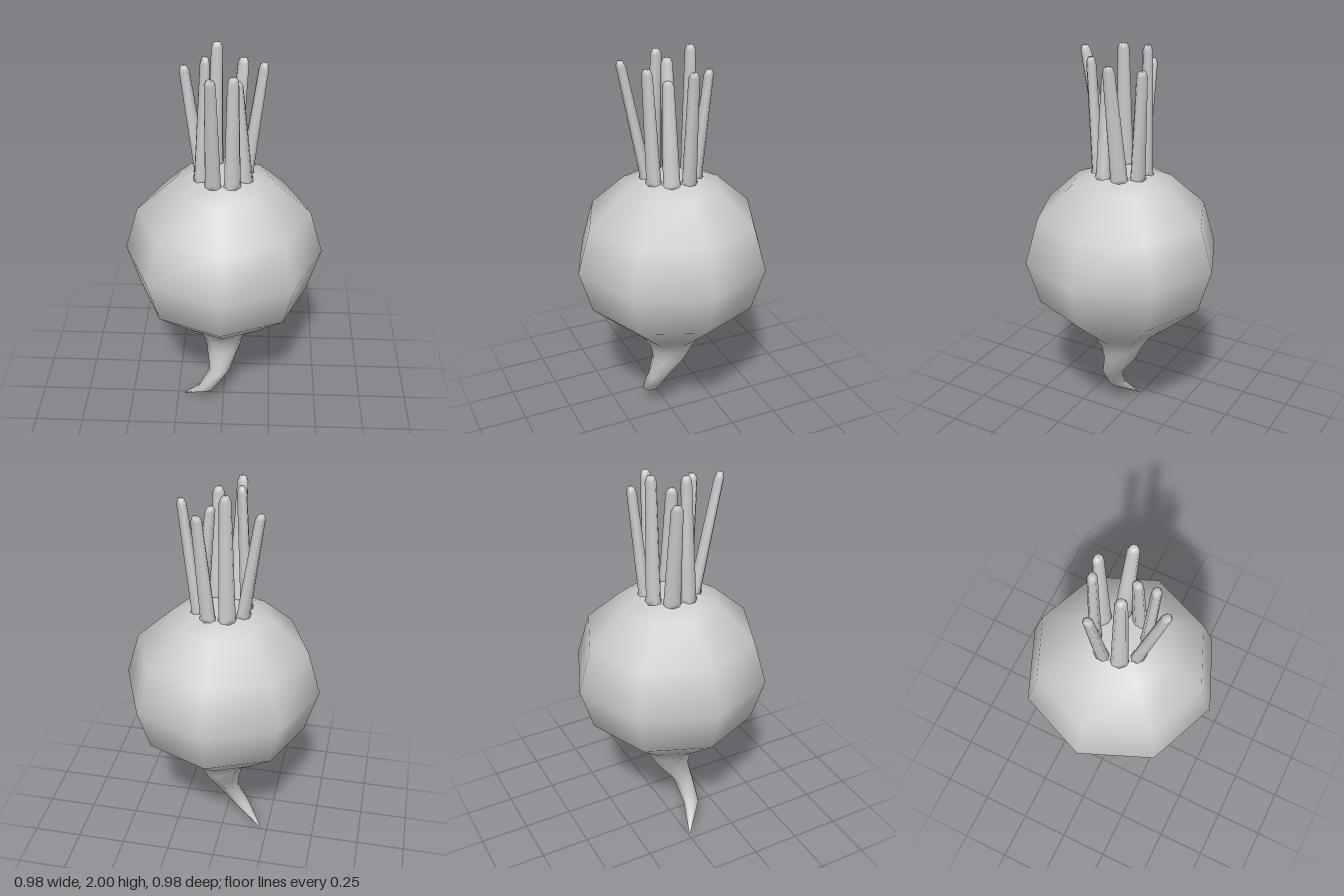
import * as THREE from 'three';

const material = new THREE.MeshStandardMaterial({ color: 0xcccccc });

// Skin a stack of rings (listed bottom to top) and close both ends.
function loft(rings, name) {
  const n = rings[0].length;
  const positions = rings.flat().flatMap((p) => [p.x, p.y, p.z]);
  const index = [];
  for (let i = 0; i < rings.length - 1; i++) {
    for (let j = 0; j < n; j++) {
      const a = i * n + j, b = i * n + (j + 1) % n;
      index.push(a, a + n, b, b, a + n, b + n);
    }
  }
  const last = (rings.length - 1) * n;
  for (let j = 1; j < n - 1; j++) {
    index.push(0, j, j + 1);
    index.push(last, last + j + 1, last + j);
  }
  const geometry = new THREE.BufferGeometry();
  geometry.setAttribute('position', new THREE.Float32BufferAttribute(positions, 3));
  geometry.setIndex(index);
  geometry.computeVertexNormals();
  const mesh = new THREE.Mesh(geometry, material);
  mesh.name = name;
  return mesh;
}

// Horizontal elliptical ring; turn rotates its axes about y.
function ring(sides, x, y, z, rx, rz = rx, turn = 0) {
  return Array.from({ length: sides }, (_, k) => {
    const a = (k / sides) * Math.PI * 2;
    const u = Math.cos(a) * rx, v = Math.sin(a) * rz;
    return new THREE.Vector3(
      x + u * Math.cos(turn) - v * Math.sin(turn),
      y,
      z + u * Math.sin(turn) + v * Math.cos(turn));
  });
}

// Eight-sided bulb running down into a bent root tip.
function createBulb() {
  const profile = [ // x, y, z, radius
    [-0.212, 0, 0.012, 0.004],
    [-0.09, 0.115, 0.083, 0.043],
    [-0.018, 0.235, 0.07, 0.054],
    [-0.002, 0.355, 0.013, 0.088],
    [0, 0.43, 0, 0.112],
    [0, 0.5, 0, 0.153],
    [0, 0.58, 0, 0.247],
    [0, 0.737, 0, 0.424],
    [0, 0.96, 0, 0.49],
    [0, 1.183, 0, 0.424],
    [0, 1.345, 0, 0.247],
    [0, 1.385, 0, 0.145],
    [0, 1.392, 0, 0.09],
  ];
  return loft(profile.map(([x, y, z, r]) => ring(8, x, y, z, r)), 'bulb');
}

// Tapered stalk leaning from its place on the crown to a blunt end.
function createStalk(angle, [tx, ty, tz]) {
  const base = new THREE.Vector3(Math.cos(angle) * 0.118, 1.37, Math.sin(angle) * 0.118);
  const tip = new THREE.Vector3(tx, ty, tz);
  const levels = [ // fraction of length, radial and tangential radius
    [0, 0.036, 0.05],
    [0.05, 0.029, 0.041],
    [0.96, 0.023, 0.028],
    [1, 0.014, 0.018],
  ];
  return loft(levels.map(([t, r, w]) => {
    const p = base.clone().lerp(tip, t);
    return ring(8, p.x, p.y, p.z, r, w, angle);
  }), 'stalk');
}

export function createModel() {
  const model = new THREE.Group();
  model.name = 'beetroot';
  model.add(createBulb());

  // Cut stalks, one per side of the crown, going round from +x towards +z.
  const tips = [
    [0.065, 1.875, 0.045],
    [0.047, 1.935, 0.14],
    [-0.05, 1.96, 0.23],
    [-0.08, 1.987, 0.04],
    [-0.185, 1.905, -0.06],
    [-0.035, 2, -0.112],
    [0.087, 1.912, -0.15],
    [0.182, 1.937, -0.03],
  ];
  const stalks = new THREE.Group();
  stalks.name = 'stalks';
  tips.forEach((tip, k) => stalks.add(createStalk((k + 0.5) * Math.PI / 4, tip)));
  model.add(stalks);
  return model;
}
